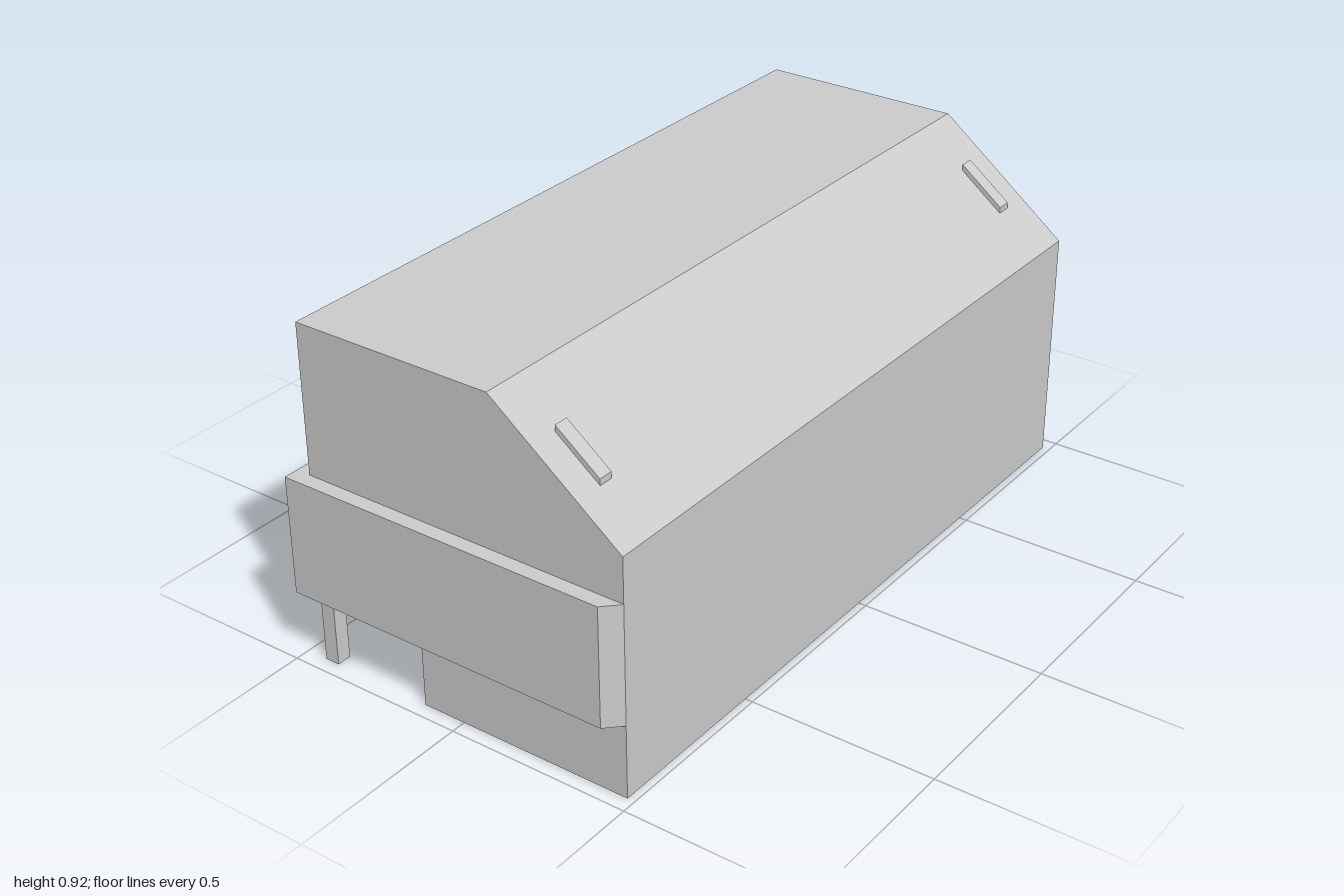
import * as THREE from 'three';

const material = new THREE.MeshStandardMaterial({ color: 0xcccccc, flatShading: true });

const outline = (points) => new THREE.Shape(points.map(([a, b]) => new THREE.Vector2(a, b)));

// Side profile of [z, y] points, extruded along x and centred on it
function sideProfile(points, width) {
  const geometry = new THREE.ExtrudeGeometry(outline(points), { depth: width, bevelEnabled: false });
  return geometry.translate(0, 0, -width / 2).rotateY(-Math.PI / 2);
}

// Plan outline of [x, z] points, extruded upwards from y0 to y1
function planOutline(points, y0, y1) {
  const shape = outline(points.map(([x, z]) => [x, -z]));
  const geometry = new THREE.ExtrudeGeometry(shape, { depth: y1 - y0, bevelEnabled: false });
  return geometry.rotateX(-Math.PI / 2).translate(0, y0, 0);
}

export function createModel() {
  const model = new THREE.Group();
  const add = (name, geometry, x = 0, y = 0, z = 0) => {
    const mesh = new THREE.Mesh(geometry, material);
    mesh.name = name;
    mesh.position.set(x, y, z);
    model.add(mesh);
  };

  // Cabinet with sloped lid and a base set back under the rear
  add('cabinet', sideProfile([
    [0.48, 0], [0.48, 0.64], [0.12, 0.92], [-0.44, 0.92],
    [-0.44, 0.2], [-0.12, 0.2], [-0.12, 0],
  ], 1.92));

  // Band wrapping the sides and back, chamfered at the front corners
  add('sideBand', planOutline([
    [0.96, 0.48], [1, 0.44], [1, -0.48], [-1, -0.48], [-1, 0.44], [-0.96, 0.48],
    [-0.96, -0.44], [0.96, -0.44],
  ], 0.2, 0.52));

  // Lid handles and rear legs, mirrored left and right
  const handle = sideProfile([[0.36, 0.733], [0.36, 0.75], [0.24, 0.843], [0.24, 0.827]], 0.04);
  const leg = new THREE.BoxGeometry(0.04, 0.2, 0.04);
  for (const [side, s] of [['left', 1], ['right', -1]]) {
    add(side + 'Handle', handle, s * 0.86);
    add(side + 'RearLeg', leg, s * 0.94, 0.1, -0.42);
  }
  return model;
}
